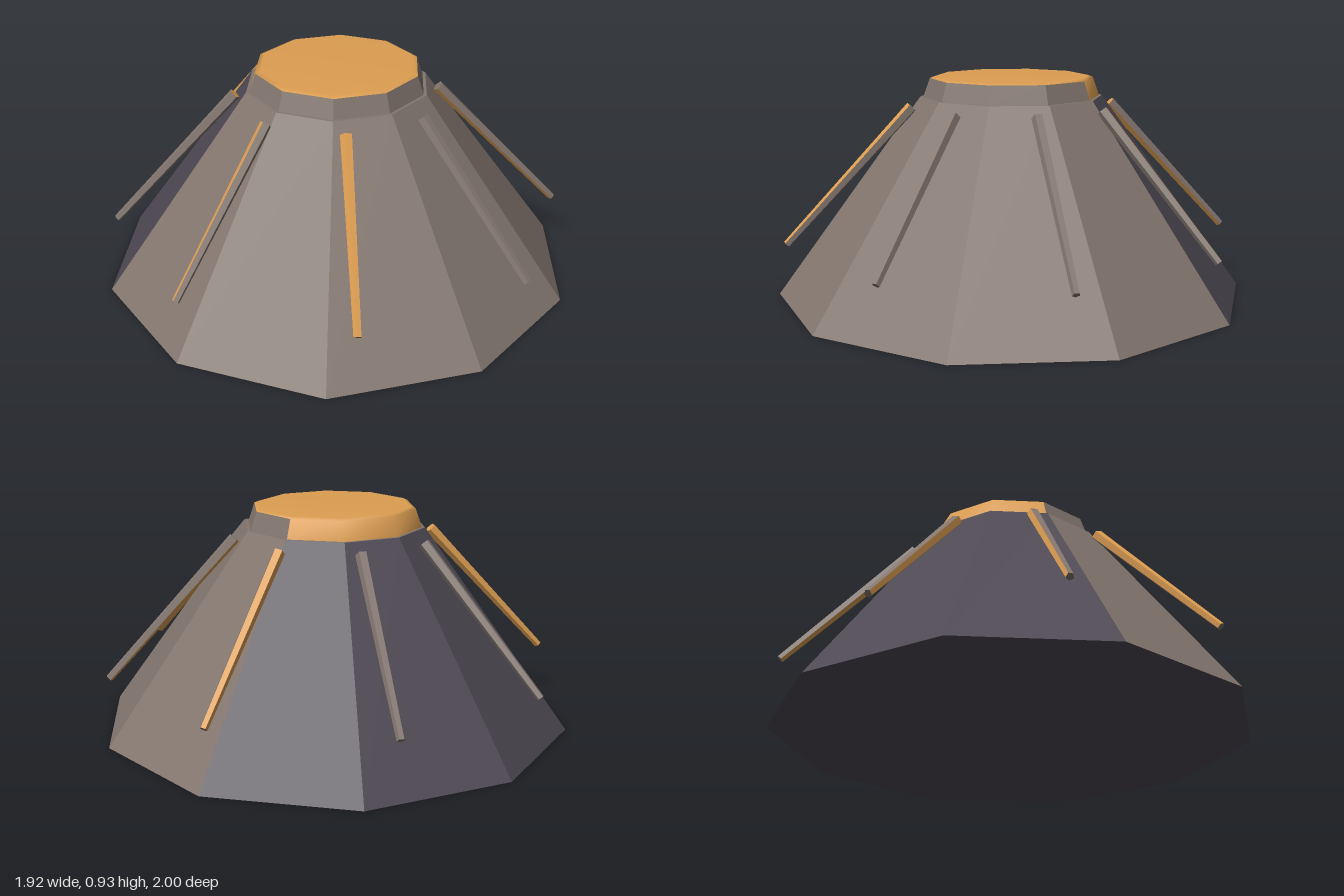
import * as THREE from 'three';

const SIDES = 10;

// Material indices: 0 stone, 1 shaded stone, 2 lava
function makeMaterials() {
  const make = (name, color) => {
    const m = new THREE.MeshStandardMaterial({ color });
    m.name = name;
    return m;
  };
  return [make('stone', 0x83766f), make('darkStone', 0x4f4954), make('lava', 0xdd9e52)];
}

// Faceted geometry with hard edges
function faceted(geometry) {
  const g = geometry.toNonIndexed();
  g.computeVertexNormals();
  return g;
}

function setGroups(geometry, runs) {
  geometry.clearGroups();
  let start = 0;
  for (const [count, material] of runs) {
    geometry.addGroup(start, count, material);
    start += count;
  }
}

// Ten-sided slope, with four dark faces at the back left
function makeSlope(materials) {
  const g = new THREE.CylinderGeometry(0.385, 1, 0.845, SIDES, 1);
  setGroups(g, [[30, 0], [24, 1], [6, 0], [30, 0], [30, 1]]);
  const mesh = new THREE.Mesh(faceted(g), materials);
  mesh.name = 'slope';
  mesh.position.y = 0.845 / 2;
  return mesh;
}

// Stone side of the crater rim: the six faces that carry no lava
function makeRim(materials) {
  const step = (Math.PI * 2) / SIDES;
  const g = new THREE.CylinderGeometry(0.345, 0.372, 0.077, SIDES, 1, true);
  const sides = g.toNonIndexed();
  sides.computeVertexNormals();
  sides.clearGroups();
  sides.addGroup(0, 30, 0);
  sides.addGroup(54, 6, 0);
  const mesh = new THREE.Mesh(sides, materials);
  mesh.name = 'craterRim';
  mesh.position.y = 0.845 + 0.077 / 2;
  mesh.userData.step = step;
  return mesh;
}

// Smooth lava pool with a thin bevel, spilling over four faces of the rim
function makeLava(material) {
  const rings = [[0.325, 0.93], [0.345, 0.922], [0.372, 0.845]];
  const positions = [0, 0.93, 0];
  for (const [r, y] of rings) {
    for (let i = 0; i < SIDES; i++) {
      const a = (i / SIDES) * Math.PI * 2;
      positions.push(r * Math.sin(a), y, r * Math.cos(a));
    }
  }
  const at = (ring, i) => 1 + ring * SIDES + (i % SIDES);
  const index = [];
  const band = (ring, i) => index.push(
    at(ring, i), at(ring + 1, i), at(ring, i + 1),
    at(ring + 1, i), at(ring + 1, i + 1), at(ring, i + 1));
  for (let i = 0; i < SIDES; i++) {
    index.push(0, at(0, i), at(0, i + 1));
    band(0, i);
    if (i >= 5 && i <= 8) band(1, i);
  }
  const g = new THREE.BufferGeometry();
  g.setAttribute('position', new THREE.Float32BufferAttribute(positions, 3));
  g.setIndex(index);
  g.computeVertexNormals();
  const mesh = new THREE.Mesh(g, material);
  mesh.name = 'lavaPool';
  return mesh;
}

// Tapered five-sided rod; the two faces nearest `glow` are lava coloured
function makeRod(materials, inner, outer, glow, endMaterial) {
  const top = new THREE.Vector3(inner[0], 0.808, inner[1]);
  const bottom = new THREE.Vector3(outer[0], 0.245, outer[1]);
  const g = new THREE.CylinderGeometry(0.025, 0.016, top.distanceTo(bottom), 5, 1);
  setGroups(g, [[6, 2], [18, 0], [6, 2], [15, endMaterial], [15, 0]]);
  const mesh = new THREE.Mesh(faceted(g), materials);
  const yAxis = top.clone().sub(bottom).normalize();
  const zAxis = new THREE.Vector3(...glow);
  zAxis.addScaledVector(yAxis, -zAxis.dot(yAxis)).normalize();
  const xAxis = new THREE.Vector3().crossVectors(yAxis, zAxis);
  mesh.quaternion.setFromRotationMatrix(new THREE.Matrix4().makeBasis(xAxis, yAxis, zAxis));
  mesh.position.copy(top).add(bottom).multiplyScalar(0.5);
  return mesh;
}

export function createModel() {
  const group = new THREE.Group();
  group.name = 'volcano';
  const materials = makeMaterials();
  group.add(makeSlope(materials), makeRim(materials), makeLava(materials[2]));

  // Eight rods around the slope: upper end, lower end, lava side, upper cap
  const rods = [
    ['frontRod', [-0.015, 0.43], [-0.035, 0.95], [-1, 0.4, 0.2], 2],
    ['frontLeftRod', [0.29, 0.31], [0.65, 0.7], [0.4, 0.7, 1], 2],
    ['leftRod', [0.43, 0], [0.95, 0], [-1, -1, 0], 0],
    ['backLeftRod', [0.3, -0.3], [0.68, -0.68], [-1, -1, 1], 0],
    ['backRod', [0, -0.43], [0.005, -0.95], [-1, 0.5, -0.4], 2],
    ['backRightRod', [-0.3, -0.31], [-0.67, -0.69], [1, -1, 1], 2],
    ['rightRod', [-0.425, -0.01], [-0.95, -0.025], [0.3, -0.6, 1], 2],
    ['frontRightRod', [-0.31, 0.29], [-0.69, 0.655], [-0.7, -0.3, -1], 2],
  ];
  for (const [name, inner, outer, glow, end] of rods) {
    const rod = makeRod(materials, inner, outer, glow, end);
    rod.name = name;
    group.add(rod);
  }
  return group;
}
